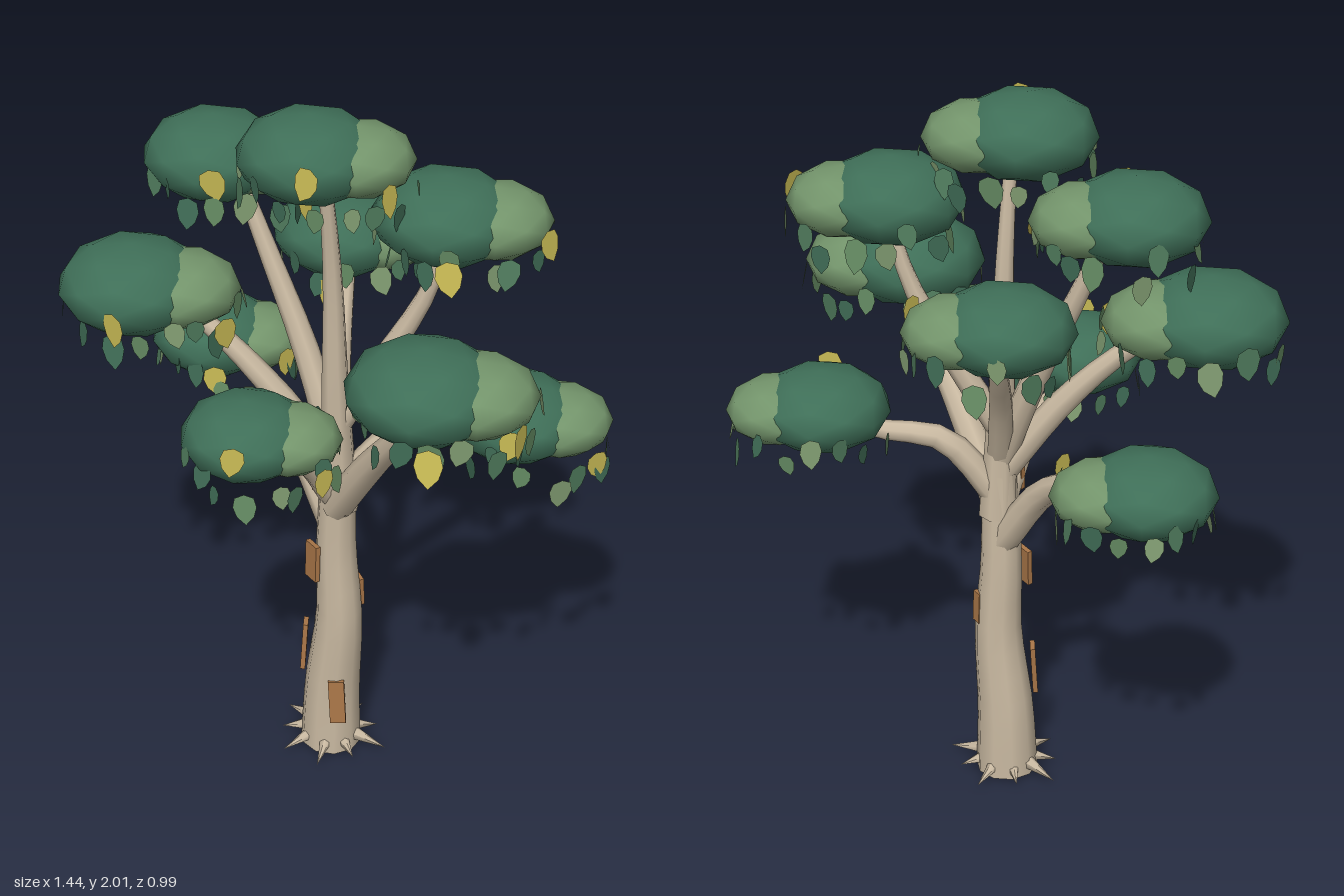
import * as THREE from 'three';

const mat = (color, extra = {}) => new THREE.MeshStandardMaterial({ color, ...extra });
const bark = mat(0xcbbba3);
const peel = mat(0xa97648);
const darkGreen = mat(0x3f6f58);
const lightGreen = mat(0x73946b);
const leafMats = [0x3f6b55, 0x648a62, 0x7f9a70, 0x4f7a5c].map(c => mat(c, { side: THREE.DoubleSide }));
const yellow = mat(0xc9bb55, { side: THREE.DoubleSide });

let seed = 11;
const rand = (a = 0, b = 1) => {
  seed = (seed * 16807) % 2147483647;
  return a + (b - a) * seed / 2147483647;
};

function add(parent, name, geometry, material) {
  const mesh = new THREE.Mesh(geometry, material);
  mesh.name = name;
  parent.add(mesh);
  return mesh;
}

// Tube along a smooth path, with the radius interpolated between the given values
function taperedTube(points, radii, segments, sides) {
  const curve = new THREE.CatmullRomCurve3(points.map(p => new THREE.Vector3(...p)));
  const geo = new THREE.TubeGeometry(curve, segments, 1, sides);
  const pos = geo.attributes.position;
  const v = new THREE.Vector3();
  for (let i = 0; i <= segments; i++) {
    const t = i / segments * (radii.length - 1);
    const k = Math.min(Math.floor(t), radii.length - 2);
    const r = THREE.MathUtils.lerp(radii[k], radii[k + 1], t - k);
    const c = curve.getPointAt(i / segments);
    for (let j = 0; j <= sides; j++) {
      const n = i * (sides + 1) + j;
      v.fromBufferAttribute(pos, n).sub(c).multiplyScalar(r).add(c);
      pos.setXYZ(n, v.x, v.y, v.z);
    }
  }
  return geo;
}

// Pointed leaf hanging from its origin
const half = [[0.4, -0.12], [0.5, -0.45], [0.36, -0.8]];
const leafGeo = new THREE.ShapeGeometry(new THREE.Shape([
  [0, 0], ...half.map(([x, y]) => [-x, y]), [0, -1.1], ...[...half].reverse(),
].map(p => new THREE.Vector2(...p))));

const blobGeo = new THREE.IcosahedronGeometry(1, 1);

// Flattened dark crown, a lighter lobe on one side and a fringe of leaves
function foliage([x, y, z], s, [yx, yy]) {
  const g = new THREE.Group();
  g.name = 'foliageCluster';
  g.position.set(x, y, z);
  g.scale.setScalar(s);

  const dark = add(g, 'darkCrown', blobGeo, darkGreen);
  dark.position.set(-0.03, 0, 0.015);
  dark.scale.set(0.19, 0.112, 0.185);
  dark.rotation.y = 0.3;
  const light = add(g, 'lightLobe', blobGeo, lightGreen);
  light.position.set(0.075, -0.005, -0.035);
  light.scale.set(0.15, 0.09, 0.145);
  light.rotation.y = 0.5;

  const leaf = (angle, radius, ly, size, material) => {
    const m = add(g, 'leaf', leafGeo, material);
    m.position.set(0.01 + Math.sin(angle) * radius * 1.08, ly, Math.cos(angle) * radius);
    m.rotation.set(rand(-0.25, 0.1), angle + rand(-0.4, 0.4), rand(-0.3, 0.3), 'YXZ');
    m.scale.set(size * 0.8, size, size);
  };
  const count = 17;
  for (let i = 0; i < count; i++) {
    const angle = (i + rand(-0.3, 0.3)) / count * Math.PI * 2;
    leaf(angle, rand(0.18, 0.215), rand(-0.07, 0.01), rand(0.055, 0.085), leafMats[i % 4]);
  }
  leaf(Math.atan2(yx, 0.19), 0.2, yy + 0.05, 0.085, yellow);
  leaf(1.4 + rand(-0.2, 0.2), 0.215, rand(-0.03, 0.04), 0.08, yellow);
  return g;
}

export function createModel() {
  const tree = new THREE.Group();
  tree.name = 'tree';

  // Swaying trunk and its long central leader
  add(tree, 'trunk', taperedTube(
    [[0, 0, -0.02], [0.005, 0.2, -0.02], [0.028, 0.45, -0.018], [0.02, 0.68, -0.015], [0.03, 0.95, -0.01]],
    [0.088, 0.078, 0.065, 0.056, 0.048], 12, 10), bark);
  add(tree, 'leader', taperedTube(
    [[0.03, 0.82, -0.015], [0.025, 1.2, 0], [0.022, 1.55, 0.01], [0.02, 1.88, 0.05]],
    [0.055, 0.038, 0.026, 0.016], 10, 8), bark);

  // Root spurs around the foot
  for (let i = 0; i < 9; i++) {
    const a = i / 9 * Math.PI * 2 + 0.25;
    const length = i % 2 ? 0.1 : 0.13;
    const root = add(tree, 'root', new THREE.ConeGeometry(0.026, length, 6), bark);
    const r = 0.06 + length / 2 - 0.015;
    root.position.set(Math.sin(a) * r, 0.028, -0.02 + Math.cos(a) * r * 0.85);
    root.rotation.set(Math.PI / 2 + 0.2, a, 0, 'YXZ');
  }

  // Peeling bark: x, y, z, facing angle, width, height
  [
    [0.058, 0.19, 0.045, 0.45, 0.045, 0.14],
    [-0.068, 0.33, 0.012, -1.1, 0.045, 0.15],
    [-0.026, 0.645, 0.035, -0.5, 0.055, 0.11],
    [0.072, 0.53, -0.055, 2.5, 0.035, 0.09],
    [-0.005, 0.925, 0.036, -0.3, 0.04, 0.08],
  ].forEach(([x, y, z, facing, w, h]) => {
    const patch = add(tree, 'barkPatch', new THREE.BoxGeometry(w, h, 0.014), peel);
    patch.position.set(x, y, z);
    patch.rotation.set(-0.06, facing, 0.05, 'YXZ');
  });

  // Branches: path, start radius
  [
    [[[0.015, 0.74, -0.02], [-0.14, 0.96, -0.07], [-0.32, 1.07, -0.16], [-0.46, 1.11, -0.23]], 0.044],
    [[[0.02, 0.86, -0.01], [0.16, 1.05, -0.08], [0.31, 1.08, -0.15], [0.48, 1.13, -0.22]], 0.04],
    [[[0.03, 0.83, 0], [0.17, 1.04, 0.07], [0.31, 1.23, 0.14], [0.42, 1.4, 0.19]], 0.046],
    [[[0.02, 0.86, 0], [0.0, 1.0, 0.09], [-0.03, 1.09, 0.2], [-0.04, 1.18, 0.28]], 0.04],
    [[[0.015, 0.96, 0], [-0.14, 1.18, 0.05], [-0.32, 1.36, 0.1], [-0.46, 1.44, 0.14]], 0.04],
    [[[0.02, 1.0, -0.01], [-0.09, 1.27, -0.04], [-0.21, 1.53, -0.05], [-0.31, 1.76, -0.05]], 0.04],
    [[[0.025, 1.0, -0.01], [-0.02, 1.2, -0.1], [-0.06, 1.36, -0.2], [-0.08, 1.5, -0.27]], 0.038],
    [[[0.025, 1.08, -0.01], [0.13, 1.28, -0.06], [0.24, 1.5, -0.1], [0.3, 1.7, -0.11]], 0.036],
  ].forEach(([path, r]) =>
    add(tree, 'branch', taperedTube(path, [r, r * 0.9, r * 0.68, r * 0.45], 9, 8), bark));

  // Foliage: centre, scale, yellow leaf offset
  [
    [[0.02, 1.9, 0.05], 1, [0.06, 0.01]],
    [[-0.33, 1.775, -0.055], 1, [0.05, 0]],
    [[0.32, 1.735, -0.115], 1.02, [0.05, -0.07]],
    [[-0.465, 1.445, 0.14], 1.07, [0.02, -0.03]],
    [[-0.08, 1.515, -0.28], 0.98, [0.02, -0.1]],
    [[0.435, 1.42, 0.195], 1.08, [0.06, -0.08]],
    [[-0.46, 1.115, -0.23], 0.95, [0.06, -0.05]],
    [[-0.035, 1.19, 0.285], 0.93, [0.03, 0.03]],
    [[0.485, 1.14, -0.22], 0.97, [0.04, 0.02]],
  ].forEach(c => tree.add(foliage(...c)));

  return tree;
}
